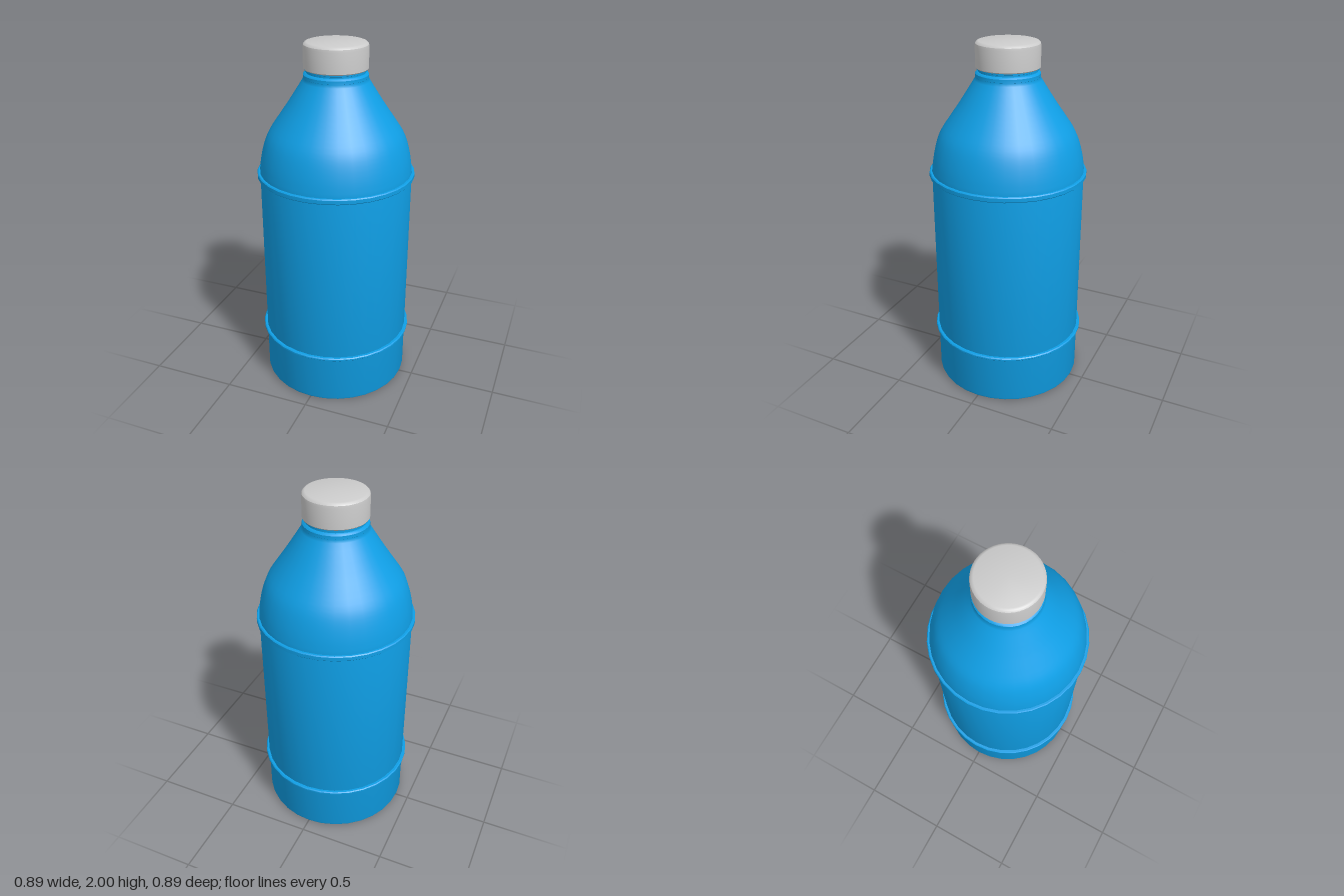
import * as THREE from 'three';
import { toCreasedNormals } from 'three/addons/utils/BufferGeometryUtils.js';

const blue = new THREE.MeshStandardMaterial({ color: 0x0f9fe6 });
const grey = new THREE.MeshStandardMaterial({ color: 0xcccccc });

// Turned part from [radius, height] points, listed bottom to top
function turned(name, points, material, sides = 32) {
  const profile = points.map(([r, y]) => new THREE.Vector2(r, y));
  const geometry = toCreasedNormals(new THREE.LatheGeometry(profile, sides), 0.55);
  const mesh = new THREE.Mesh(geometry, material);
  mesh.name = name;
  return mesh;
}

// Raised band with slightly softened edges
function band(name, y, height, radius) {
  const h = height / 2, b = 0.005;
  return turned(name, [
    [0.415, y - h], [radius - b, y - h], [radius, y - h + b],
    [radius, y + h - b], [radius - b, y + h], [0.415, y + h],
  ], blue);
}

export function createModel() {
  const bottle = new THREE.Group();
  bottle.name = 'bottle';

  // Curved shoulder running into a straight cone
  const shoulder = new THREE.SplineCurve([
    [0.425, 1.3], [0.415, 1.37], [0.395, 1.45], [0.367, 1.517],
    [0.315, 1.595], [0.26, 1.675], [0.182, 1.797], [0.175, 1.815],
  ].map(([r, y]) => new THREE.Vector2(r, y))).getPoints(21).map((p) => [p.x, p.y]);

  bottle.add(turned('body', [
    [0, 0], [0.412, 0], [0.421, 0.004], [0.425, 0.015],
    ...shoulder,
    // neck collar and groove below the cap
    [0.175, 1.832], [0.17, 1.838], [0.16, 1.842], [0.16, 1.85],
    [0.168, 1.853], [0.168, 1.865], [0, 1.865],
  ], blue));

  bottle.add(band('lowerBand', 0.298, 0.018, 0.443));
  bottle.add(band('upperBand', 1.28, 0.03, 0.44));

  // Screw cap with a rounded top rim
  bottle.add(turned('cap', [
    [0, 1.86], [0.17, 1.86], [0.174, 1.865], [0.174, 1.975],
    [0.172, 1.988], [0.164, 1.997], [0.155, 2], [0, 2],
  ], grey, 48));

  return bottle;
}
